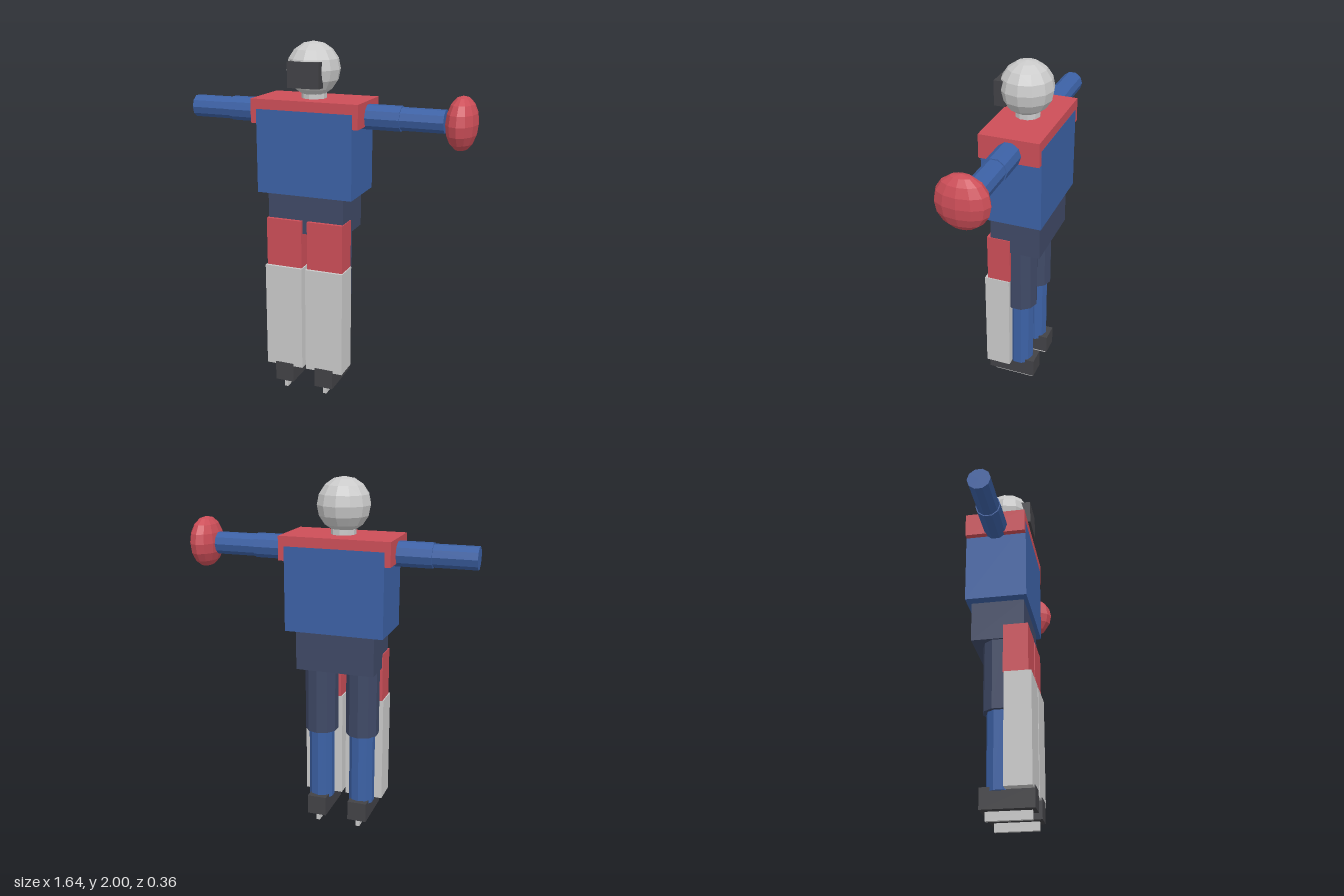
import * as THREE from 'three';

const CX = -0.09; // middle of the body
const CZ = -0.01;

export function createModel() {
  const model = new THREE.Group();
  model.name = 'goalkeeper';

  const mat = (name, color) => {
    const m = new THREE.MeshStandardMaterial({ color });
    m.flatShading = true;
    m.name = name;
    return m;
  };
  const red = mat('red', 0xcc4e58);
  const blue = mat('blue', 0x3c61a5);
  const navy = mat('navy', 0x3f4966);
  const grey = mat('light grey', 0xcacaca);
  const dark = mat('charcoal', 0x424246);

  const add = (name, geometry, material, x, y, z) => {
    const mesh = new THREE.Mesh(geometry, material);
    mesh.name = name;
    mesh.position.set(x, y, z);
    model.add(mesh);
    return mesh;
  };
  // box from centre x, width and y / z ranges
  const box = (name, material, x, w, y0, y1, z0, z1) =>
    add(name, new THREE.BoxGeometry(w, y1 - y0, z1 - z0), material, x, (y0 + y1) / 2, (z0 + z1) / 2);
  const post = (name, material, r, x, y0, y1, z) =>
    add(name, new THREE.CylinderGeometry(r, r, y1 - y0, 10), material, x, (y0 + y1) / 2, z);

  // trunk
  box('torso', blue, CX, 0.555, 1.175, 1.64, -0.178, 0.157);
  box('shoulderPads', red, CX, 0.62, 1.562, 1.695, -0.177, 0.156);
  box('pelvis', navy, CX, 0.445, 0.953, 1.175, -0.153, 0.135);

  // head
  post('neck', grey, 0.069, CX, 1.66, 1.78, 0);
  add('head', new THREE.SphereGeometry(0.148, 12, 8), grey, CX, 1.852, 0.004);
  box('faceMask', dark, CX, 0.18, 1.762, 1.9, 0.09, 0.156);

  for (const [label, s] of [['left', 1], ['right', -1]]) {
    // arm, stretched out sideways
    const arm = (name, r, d0, d1) => {
      const mesh = add(name, new THREE.CylinderGeometry(r, r, d1 - d0, 10), blue,
        CX + s * (d0 + d1) / 2, 1.609, -0.011);
      mesh.rotation.z = Math.PI / 2;
    };
    arm(label + 'UpperArm', 0.069, 0.28, 0.5);
    arm(label + 'Forearm', 0.063, 0.5, 0.736);

    // leg with its pads and skate
    const x = CX + s * 0.122;
    post(label + 'Thigh', navy, 0.094, x, 0.562, 0.96, CZ);
    post(label + 'Shin', blue, 0.073, x, 0.14, 0.562, CZ);
    box(label + 'ThighPad', red, x, 0.21, 0.755, 1.03, 0.021, 0.156);
    box(label + 'LegPad', grey, x, 0.222, 0.145, 0.755, 0.026, 0.172);
    box(label + 'Boot', dark, x, 0.111, 0.047, 0.16, -0.108, 0.177);
    box(label + 'Blade', grey, x, 0.022, 0, 0.047, -0.085, 0.156);
  }

  // catching glove on the left hand
  add('glove', new THREE.SphereGeometry(0.143, 12, 8), red, 0.735, 1.609, 0.01).scale.x = 0.58;

  return model;
}
